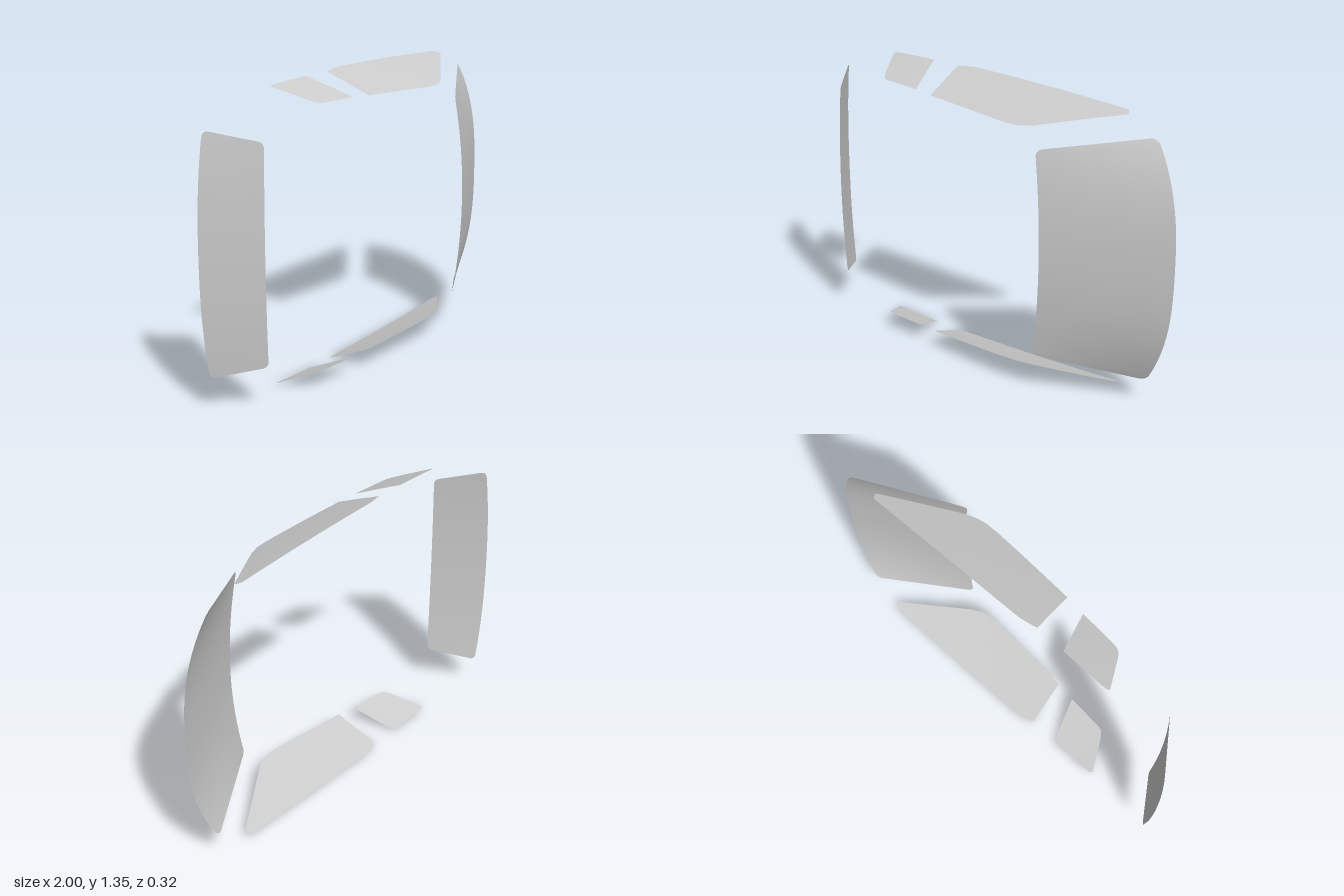
import * as THREE from 'three';

const MID = 0.6675; // height of the mirror plane
const glass = new THREE.MeshStandardMaterial({ color: 0xcccccc, side: THREE.DoubleSide });
const lerp = THREE.MathUtils.lerp;

// Smooth surface through a grid of rows of points
function gridMesh(name, rows, flip = false) {
  const n = rows[0].length;
  const index = [];
  for (let i = 0; i < rows.length - 1; i++) {
    for (let j = 0; j < n - 1; j++) {
      const a = i * n + j, b = a + 1, c = a + n, d = c + 1;
      if (flip) index.push(a, c, b, b, c, d);
      else index.push(a, b, c, b, d, c);
    }
  }
  const geo = new THREE.BufferGeometry();
  geo.setAttribute('position', new THREE.Float32BufferAttribute(rows.flat(2), 3));
  geo.setIndex(index);
  geo.computeVertexNormals();
  const mesh = new THREE.Mesh(geo, glass);
  mesh.name = name;
  return mesh;
}

// Curved end screen between two bowed edges.
// Edge: x and z at the middle, their change (dx, dz) at the ends, bow power, half width
function screen(name, left, right, corner) {
  const rows = [];
  const vs = [];
  for (let i = 0; i <= 24; i++) vs.push(-0.95 + (1.9 * i) / 24);
  for (const e of [0.965, 0.98, 0.99, 0.997, 1]) { vs.push(e); vs.unshift(-e); }
  const at = (e, v) => {
    const b = Math.abs(v) ** e.power;
    return [e.x + e.dx * b, MID + e.half * v, e.z + e.dz * b];
  };
  for (const v of vs) {
    // rounded corners: pull both ends in over the last rows
    const k = Math.max(0, (Math.abs(v) - 0.95) / 0.05);
    const inset = corner * (1 - Math.sqrt(Math.max(0, 1 - k * k)));
    const p = at(left, v), q = at(right, v);
    const row = [];
    for (let j = 0; j <= 10; j++) {
      const t = lerp(inset, 1 - inset, j / 10);
      row.push(p.map((c, m) => lerp(c, q[m], t)));
    }
    rows.push(row);
  }
  return gridMesh(name, rows);
}

// Height of the curved body side above each (x, z)
function sideHeight(x, z) {
  const u = x + 0.175, d = 0.13 - z;
  return 1.252 - 0.045 * u - (u < 0 ? 0.08 : 0.03) * u * u + 0.42 * d - 0.08 * d * d;
}

// Linear interpolation along a rail of [x, z] points
function railAt(rail, x) {
  for (let i = 1; i < rail.length; i++) {
    const [x0, z0] = rail[i - 1], [x1, z1] = rail[i];
    if (x <= x1) return lerp(z0, z1, (x - x0) / (x1 - x0));
  }
  return rail[rail.length - 1][1];
}

// Side window between two rails, laid on the body side
function sideWindow(name, belt, roof, sign) {
  const x0 = belt[0][0], x1 = belt[belt.length - 1][0];
  const xs = [...belt, ...roof].map((p) => p[0]);
  for (let i = 1; i < 16; i++) xs.push(lerp(x0, x1, i / 16));
  const columns = [...new Set(xs)].sort((a, b) => a - b);
  const rows = columns.map((x) => {
    const a = railAt(belt, x), b = railAt(roof, x);
    const row = [];
    for (let j = 0; j <= 8; j++) {
      const z = lerp(a, b, j / 8);
      row.push([x, MID + sign * (sideHeight(x, z) - MID), z]);
    }
    return row;
  });
  return gridMesh(name, rows, sign > 0);
}

export function createModel() {
  const model = new THREE.Group();
  model.name = 'carWindows';

  model.add(screen('windshield',
    { x: 0.495, dx: -0.045, z: 0.16, dz: -0.018, power: 2, half: 0.48 },
    { x: 1.0, dx: -0.135, z: -0.125, dz: -0.02, power: 2.66, half: 0.562 }, 0.06));

  model.add(screen('rearWindow',
    { x: -1.0, dx: 0.035, z: -0.083, dz: 0.008, power: 2.3, half: 0.53 },
    { x: -0.825, dx: 0.015, z: 0.125, dz: -0.008, power: 2, half: 0.48 }, 0.09));

  // Side windows, mirrored about the middle
  for (const [label, sign] of [['upper', 1], ['lower', -1]]) {
    model.add(sideWindow(label + 'FrontSideWindow',
      [[-0.21, -0.07], [-0.195, -0.077], [-0.13, -0.095], [0.0, -0.107], [0.69, -0.165], [0.7, -0.16], [0.712, -0.14]],
      [[-0.21, -0.07], [-0.175, 0.137], [0.1, 0.136], [0.25, 0.133], [0.31, 0.128],
        [0.35, 0.118], [0.4, 0.092], [0.45, 0.056], [0.712, -0.14]], sign));
    model.add(sideWindow(label + 'RearSideWindow',
      [[-0.6, -0.04], [-0.585, -0.05], [-0.355, -0.064], [-0.275, 0.131]],
      [[-0.6, -0.04], [-0.515, 0.094], [-0.5, 0.113], [-0.485, 0.125], [-0.46, 0.13], [-0.275, 0.131]], sign));
  }
  return model;
}
